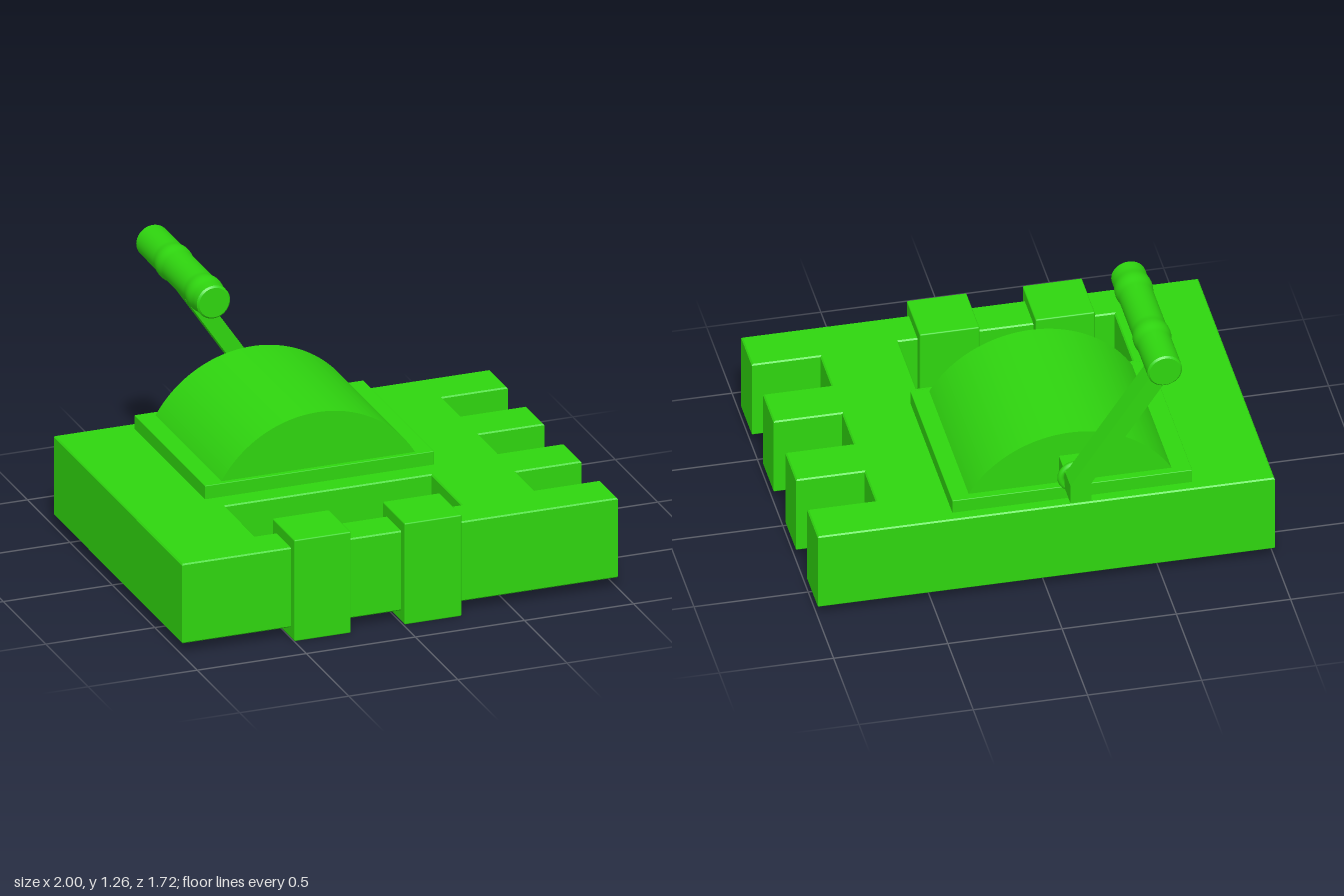
import * as THREE from 'three';
import { toCreasedNormals } from 'three/addons/utils/BufferGeometryUtils.js';
import { RoundedBoxGeometry } from 'three/addons/geometries/RoundedBoxGeometry.js';

const material = new THREE.MeshStandardMaterial({ color: 0x2fd60f });

function addPart(parent, name, geometry) {
  const mesh = new THREE.Mesh(geometry, material);
  mesh.name = name;
  parent.add(mesh);
  return mesh;
}

// Softened box given by its extents on each axis
function block(parent, name, [x0, x1], [y0, y1], [z0, z1], radius = 0.006) {
  const geometry = new RoundedBoxGeometry(x1 - x0, y1 - y0, z1 - z0, 2, radius);
  const mesh = addPart(parent, name, geometry);
  mesh.position.set((x0 + x1) / 2, (y0 + y1) / 2, (z0 + z1) / 2);
  return mesh;
}

const toPoints = (list) => list.map(([x, y]) => new THREE.Vector2(x, y));

// Slab with three notches in its left edge and a rectangular window near the front
function slabGeometry() {
  const outline = [[-1, -0.82], [1, -0.82]];
  for (const [front, back] of [[0.61, 0.39], [0.18, -0.05], [-0.26, -0.48]]) {
    outline.push([1, -front], [0.7, -front], [0.7, -back], [1, -back]);
  }
  outline.push([1, 0.69], [-1, 0.69]);
  const shape = new THREE.Shape(toPoints(outline));
  shape.holes.push(new THREE.Path(toPoints([[-0.595, -0.645], [-0.595, -0.29], [0.35, -0.29], [0.35, -0.645]])));
  const bevel = 0.006;
  const geometry = new THREE.ExtrudeGeometry(shape, {
    depth: 0.37 - 2 * bevel, bevelThickness: bevel, bevelSize: bevel, bevelOffset: -bevel, bevelSegments: 1,
  });
  geometry.translate(0, 0, bevel);
  return geometry.rotateX(-Math.PI / 2).translate(0, 0.05, 0);
}

// Circular-segment drum, extruded front to back
function drumGeometry() {
  const radius = 0.516;
  const half = Math.asin(0.445 / radius);
  const shape = new THREE.Shape();
  shape.absarc(0, 0, radius, Math.PI / 2 - half, Math.PI / 2 + half, false);
  shape.closePath();
  const geometry = new THREE.ExtrudeGeometry(shape, { depth: 0.775, bevelEnabled: false, curveSegments: 48 });
  return toCreasedNormals(geometry.translate(-0.123, 0.219, -0.604), 0.5);
}

// Square foot continuing into a slanted arm
function armGeometry() {
  const shape = new THREE.Shape(toPoints([
    [-0.165, 0.53], [-0.074, 0.53], [-0.074, 0.62], [-0.425, 1.14], [-0.515, 1.14], [-0.165, 0.62],
  ]));
  const geometry = new THREE.ExtrudeGeometry(shape, { depth: 0.1, bevelEnabled: false });
  return geometry.translate(0, 0, -0.832);
}

// Round grip with two swellings, turned along z
function gripGeometry() {
  const profile = [[0, 0], [0.068, 0], [0.076, 0.008], [0.076, 0.2]];
  for (const centre of [0.26, 0.62]) {
    for (let i = 0; i <= 10; i++) {
      const t = i / 5 - 1;
      profile.push([0.076 + 0.0035 * (1 + Math.cos(Math.PI * t)), centre + t * 0.06]);
    }
  }
  profile.push([0.076, 0.722], [0.068, 0.73], [0, 0.73]);
  const geometry = new THREE.LatheGeometry(toPoints(profile), 40);
  return toCreasedNormals(geometry.rotateX(Math.PI / 2), 0.6);
}

export function createModel() {
  const model = new THREE.Group();
  model.name = 'crankBox';

  // Base and the two sleeves wrapped around its front bar
  addPart(model, 'notchedBase', slabGeometry());
  block(model, 'rightSleeve', [-0.5, -0.24], [0, 0.47], [0.6, 0.86]);
  block(model, 'leftSleeve', [0.005, 0.267], [0, 0.47], [0.6, 0.86]);

  // Mounting plate and drum
  block(model, 'mountingPlate', [-0.65, 0.4], [0.4, 0.482], [-0.64, 0.193], 0.003);
  addPart(model, 'drum', drumGeometry());

  // Crank
  const crank = new THREE.Group();
  crank.name = 'crank';
  block(crank, 'shaft', [-0.165, -0.074], [0.53, 0.62], [-0.78, -0.55], 0.003);
  const collar = addPart(crank, 'collar', new THREE.TorusGeometry(0.06, 0.015, 12, 40));
  collar.position.set(-0.12, 0.578, -0.705);
  addPart(crank, 'arm', armGeometry());
  addPart(crank, 'grip', gripGeometry()).position.set(-0.482, 1.178, -0.862);
  model.add(crank);

  return model;
}
